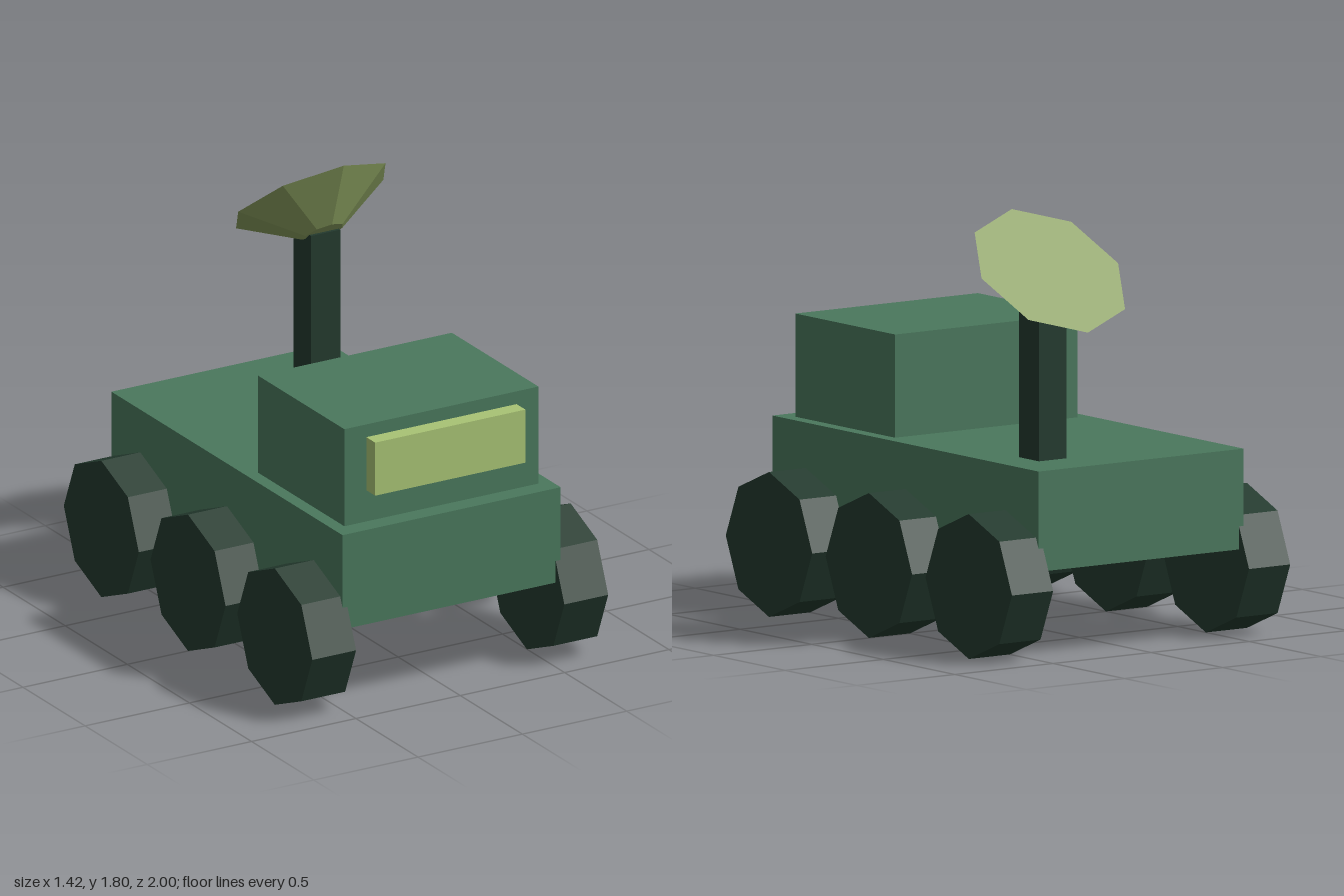
import * as THREE from 'three';

function material(name, color) {
  const m = new THREE.MeshStandardMaterial({ color, flatShading: true });
  m.name = name;
  return m;
}

export function createModel() {
  const rover = new THREE.Group();
  rover.name = 'rover';

  const green = material('body green', 0x4a785d);
  const dark = material('dark green', 0x233a2e);
  const lime = material('window lime', 0xa8c374);
  const olive = material('dish olive', 0x8a9f5f);

  function add(name, geometry, mat, x, y, z) {
    const mesh = new THREE.Mesh(geometry, mat);
    mesh.name = name;
    mesh.position.set(x, y, z);
    rover.add(mesh);
    return mesh;
  }

  // Hull, cabin and the window block standing out from the cabin front
  add('hull', new THREE.BoxGeometry(1.045, 0.418, 1.86), green, 0, 0.584, 0);
  add('cabin', new THREE.BoxGeometry(0.93, 0.43, 0.697), green, 0, 1.008, 0.5);
  add('window', new THREE.BoxGeometry(0.72, 0.235, 0.14), lime, 0, 1.049, 0.85);

  // Six octagonal wheels, three on each side
  const wheel = new THREE.CylinderGeometry(0.302, 0.302, 0.21, 8).rotateZ(Math.PI / 2);
  for (const side of [1, -1]) {
    for (const [place, z] of [['front', 0.698], ['middle', 0], ['rear', -0.698]]) {
      add(place + (side > 0 ? 'Left' : 'Right') + 'Wheel', wheel, dark, side * 0.604, 0.302, z);
    }
  }

  // Mast and closed, tilted dish, its broad face turned up and back
  add('mast', new THREE.BoxGeometry(0.14, 0.665, 0.14), dark, 0.29, 1.122, -0.64);
  const dish = new THREE.CylinderGeometry(0.348, 0.088, 0.163, 8).translate(0, -0.0815, 0);
  add('dish', dish, olive, 0.29, 1.578, -0.69).rotation.x = -0.7;

  return rover;
}
